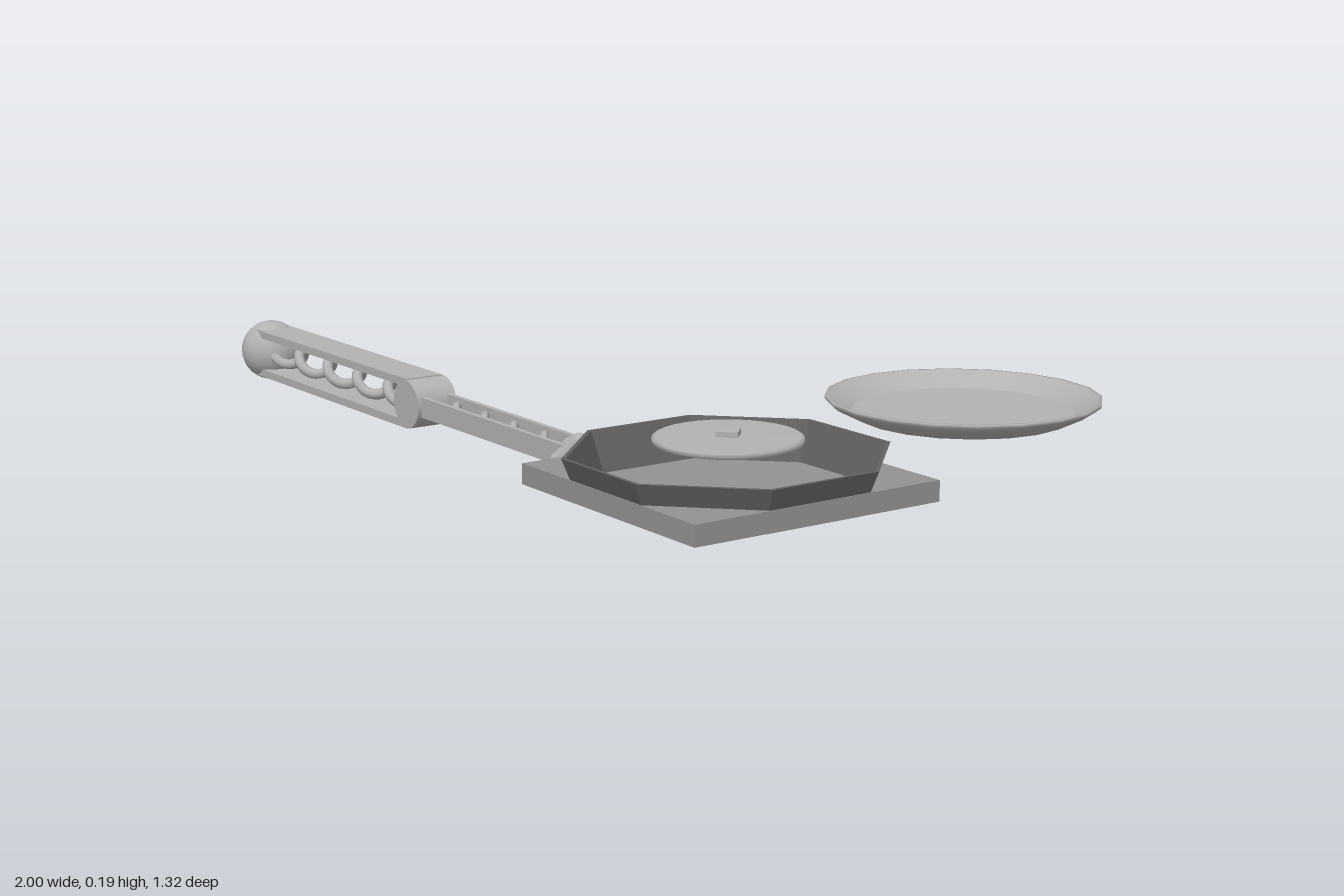
import * as THREE from 'three';

export function createModel() {
  const root = new THREE.Group();
  const material = (color, flatShading = false) =>
    new THREE.MeshStandardMaterial({ color, flatShading, side: THREE.DoubleSide });
  const light = material(0xb2b2b2);
  const lightFlat = material(0xb2b2b2, true);
  const mid = material(0x929292, true);
  const dark = material(0x626262, true);
  const V = (x, y, z) => new THREE.Vector3(x, y, z);

  function add(parent, name, geo, x = 0, y = 0, z = 0, mat = light) {
    const m = new THREE.Mesh(geo, mat);
    m.name = name;
    m.position.set(x, y, z);
    parent.add(m);
    return m;
  }
  function group(name, x, y, z) {
    const g = new THREE.Group();
    g.name = name;
    g.position.set(x, y, z);
    root.add(g);
    return g;
  }
  // Turned profile of [radius, height] points
  const lathe = (profile, sides, start = 0) =>
    new THREE.LatheGeometry(profile.map(([r, y]) => new THREE.Vector2(r, y)), sides, start);

  // Coil running along x
  function coil(x0, x1, radius, turns, wire) {
    const pts = [];
    const n = turns * 12;
    for (let i = 0; i <= n; i++) {
      const t = (i / 12) * Math.PI * 2;
      pts.push(V(x0 + (x1 - x0) * i / n, Math.cos(t) * radius, Math.sin(t) * radius));
    }
    return new THREE.TubeGeometry(new THREE.CatmullRomCurve3(pts), n * 2, wire, 8);
  }
  // Round-ended rod between two points
  function rod(parent, name, a, b, r) {
    const d = b.clone().sub(a);
    const m = add(parent, name, new THREE.CapsuleGeometry(r, d.length(), 6, 12));
    m.position.copy(a).addScaledVector(d, 0.5);
    m.quaternion.setFromUnitVectors(V(0, 1, 0), d.normalize());
  }

  // Arm
  const arm = group('arm', 0, 0.069, 0.39);
  add(arm, 'shoulder', new THREE.SphereGeometry(0.064, 24, 16), -0.936);
  for (const s of [1, -1]) {
    add(arm, 'upperArmPlate', new THREE.BoxGeometry(0.67, 0.016, 0.08), -0.605, s * 0.042, 0);
    add(arm, 'forearmRail', new THREE.BoxGeometry(0.53, 0.04, 0.01), 0.01, 0, s * 0.029);
  }
  add(arm, 'upperArmCoil', coil(-0.92, -0.28, 0.02, 5, 0.011));
  add(arm, 'forearmCoil', coil(-0.25, 0.27, 0.013, 5, 0.008));
  const elbow = add(arm, 'elbow', new THREE.CylinderGeometry(0.048, 0.048, 0.086, 24), -0.268);
  elbow.rotation.x = Math.PI / 2;
  add(arm, 'wrist', new THREE.SphereGeometry(0.033, 20, 14), 0.275);

  // Hand: two bent fingers and a thumb
  for (const z of [-0.018, 0.02]) {
    rod(arm, 'fingerBase', V(0.28, 0, z), V(0.38, -0.006, z), 0.016);
    rod(arm, 'fingerTip', V(0.38, -0.006, z), V(0.448, 0.012, z), 0.016);
  }
  rod(arm, 'thumbBase', V(0.275, -0.018, 0.02), V(0.324, 0.005, 0.07), 0.017);
  rod(arm, 'thumbTip', V(0.324, 0.005, 0.07), V(0.354, 0.041, 0.046), 0.017);

  // Tray: square surround with an octagonal flared bowl set into it
  const tray = group('tray', 0.743, 0, 0.4);
  const toCorner = 1 / Math.cos(Math.PI / 8);
  const square = new THREE.Shape([[-1, -1], [1, -1], [1, 1], [-1, 1]]
    .map(([x, y]) => new THREE.Vector2(x * 0.245, y * 0.245)));
  const hole = [];
  for (let i = 0; i < 8; i++) {
    const a = Math.PI / 8 - i * Math.PI / 4;
    hole.push(new THREE.Vector2(Math.cos(a), Math.sin(a)).multiplyScalar(0.238 * toCorner));
  }
  square.holes.push(new THREE.Path(hole));
  const plate = new THREE.ExtrudeGeometry(square, { depth: 0.036, bevelEnabled: false });
  plate.rotateX(-Math.PI / 2);
  add(tray, 'squareSurround', plate, 0, 0.093, 0, mid);
  const wall = [[0.229, 0.09], [0.257, 0.165], [0.25, 0.165], [0.226, 0.094]]
    .map(([r, y]) => [r * toCorner, y]);
  add(tray, 'octagonWall', lathe(wall, 8, Math.PI / 8), 0, 0, 0, dark);
  const floor = new THREE.CylinderGeometry(0.228 * toCorner, 0.228 * toCorner, 0.008, 8, 1, false, Math.PI / 8);
  add(tray, 'octagonFloor', floor, 0, 0.091, 0, mid);

  // Floating disc with a knob
  add(tray, 'disc', lathe([[0, 0.177], [0.121, 0.177], [0.126, 0.18], [0.126, 0.187], [0.121, 0.19], [0, 0.19]], 32));
  add(tray, 'discKnob', new THREE.CylinderGeometry(0.026, 0.026, 0.012, 4), 0, 0.193, 0, lightFlat);

  // Round dish
  const dish = lathe([[0, 0.067], [0.205, 0.067], [0.255, 0.092], [0.265, 0.1],
    [0.266, 0.107], [0.259, 0.107], [0.215, 0.078], [0.214, 0.077], [0, 0.077]], 20);
  add(root, 'dish', dish, 0.434, 0, -0.392);

  return root;
}
